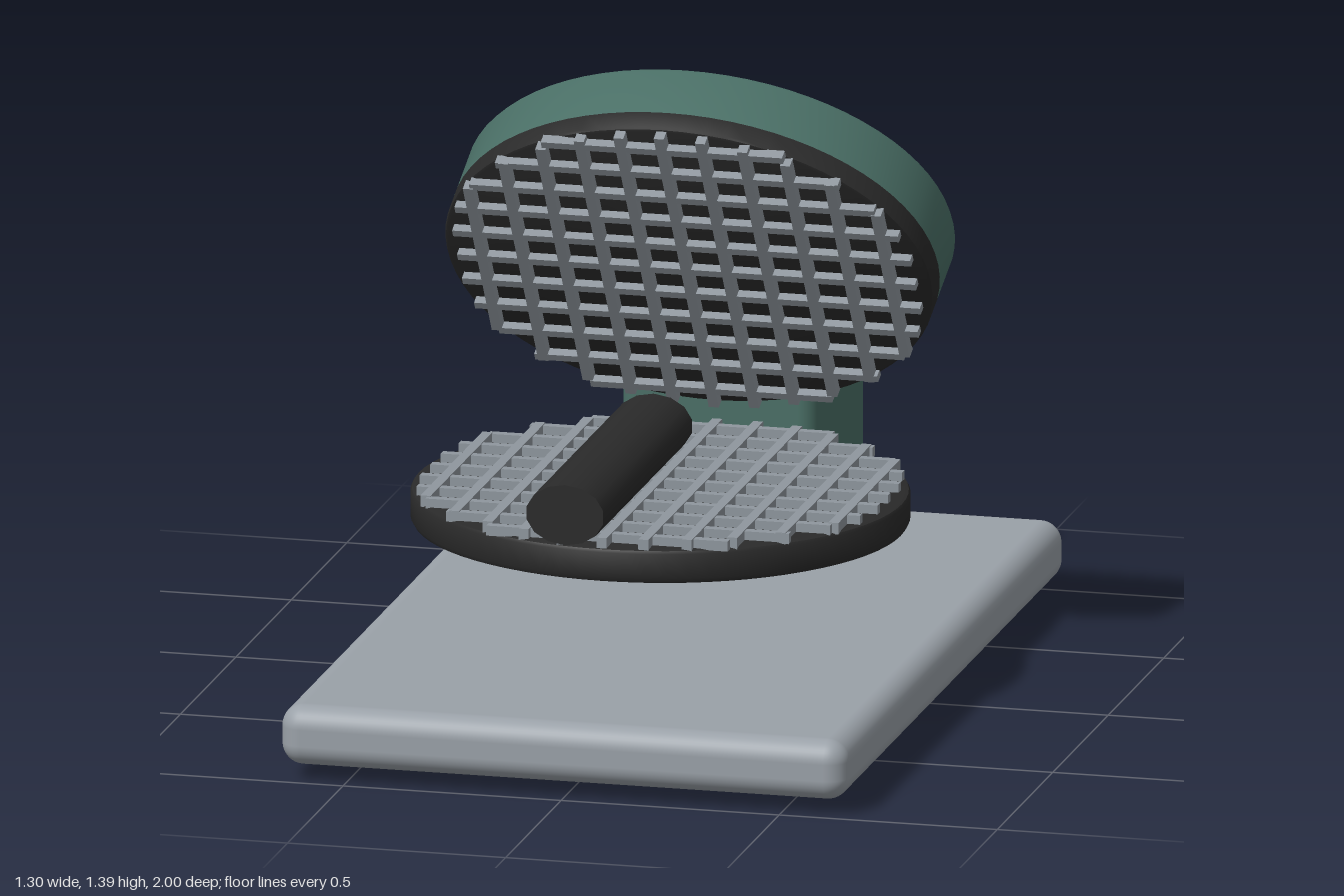
import * as THREE from 'three';
import { toCreasedNormals } from 'three/addons/utils/BufferGeometryUtils.js';
import { RoundedBoxGeometry } from 'three/addons/geometries/RoundedBoxGeometry.js';

const material = (name, color) => {
  const m = new THREE.MeshStandardMaterial({ color });
  m.name = name;
  return m;
};

export function createModel() {
  const green = material('green enamel', 0x4a6f66);
  const silver = material('silver base', 0x9aa1a8);
  const steel = material('steel ridges', 0x8f979e);
  const black = material('black plastic', 0x2a2a2a);

  const model = new THREE.Group();
  model.name = 'waffleMaker';

  const add = (parent, name, geometry, mat, x = 0, y = 0, z = 0) => {
    const mesh = new THREE.Mesh(geometry, mat);
    mesh.name = name;
    mesh.position.set(x, y, z);
    parent.add(mesh);
    return mesh;
  };

  // Disc with small bevels on both edges, from y0 to y1
  const disc = (r, y0, y1, bevelLow, bevelHigh) => {
    const points = [
      [0, y0], [r - bevelLow, y0], [r - bevelLow * 0.3, y0 + bevelLow * 0.3], [r, y0 + bevelLow],
      [r, y1 - bevelHigh], [r - bevelHigh * 0.3, y1 - bevelHigh * 0.3], [r - bevelHigh, y1], [0, y1],
    ].map(([x, y]) => new THREE.Vector2(x, y));
    return toCreasedNormals(new THREE.LatheGeometry(points, 72), 0.6);
  };

  // Crossed ridges trimmed to the round plate, standing on y = 0 towards +y
  const ridgeGrid = (name) => {
    const grid = new THREE.Group();
    grid.name = name;
    for (let i = -5; i <= 5; i++) {
      const x = i * 0.0935;
      const z = i * 0.098;
      const halfZ = Math.sqrt(0.55 ** 2 - x * x);
      const halfX = Math.min(0.525, 0.95 * Math.sqrt(0.57 ** 2 - z * z));
      add(grid, 'lengthRidge', new THREE.BoxGeometry(0.023, 0.034, halfZ * 2), steel, x, 0.012, 0);
      add(grid, 'crossRidge', new THREE.BoxGeometry(halfX * 2, 0.03, 0.023), steel, 0, 0.011, z);
    }
    return grid;
  };

  // Base and feet
  add(model, 'base', new RoundedBoxGeometry(1.3, 0.138, 2, 5, 0.05), silver, 0, 0.102, 0);
  for (const x of [-0.415, 0.415]) {
    for (const z of [-0.64, 0.64]) {
      add(model, 'foot', new THREE.CylinderGeometry(0.078, 0.078, 0.045, 28), black, x, 0.0225, z);
    }
  }

  // Hinge column
  add(model, 'hingeColumn', new RoundedBoxGeometry(0.45, 0.74, 0.46, 5, 0.04), green, 0, 0.476, -0.64);

  // Cooking parts share a slight squash, which also skews the open lid
  const cooker = new THREE.Group();
  cooker.name = 'cooker';
  cooker.scale.set(1, 0.77, 0.964);
  model.add(cooker);

  // Lower plate
  const lower = new THREE.Group();
  lower.name = 'lowerPlate';
  lower.position.set(0, 0.527, 0.108);
  cooker.add(lower);
  add(lower, 'lowerDisc', disc(0.557, 0, 0.104, 0.02, 0.012), black);
  const lowerGrid = ridgeGrid('lowerGrid');
  lowerGrid.position.y = 0.104;
  lower.add(lowerGrid);

  // Open lid: black plate facing forward, green shell behind
  const lid = new THREE.Group();
  lid.name = 'lid';
  lid.position.set(0, 1.2045, -0.158);
  lid.rotation.x = THREE.MathUtils.degToRad(-62);
  cooker.add(lid);
  add(lid, 'upperDisc', disc(0.557, 0, 0.068, 0.01, 0), black);
  add(lid, 'lidShell', disc(0.557, 0.068, 0.245, 0, 0.016), green);
  const upperGrid = ridgeGrid('upperGrid');
  upperGrid.rotation.x = Math.PI;
  lid.add(upperGrid);

  // Handle
  const handle = add(cooker, 'handle', new THREE.CylinderGeometry(0.09, 0.09, 0.83, 14), black, 0, 0.841, 0.586);
  handle.rotation.x = Math.PI / 2;

  return model;
}
